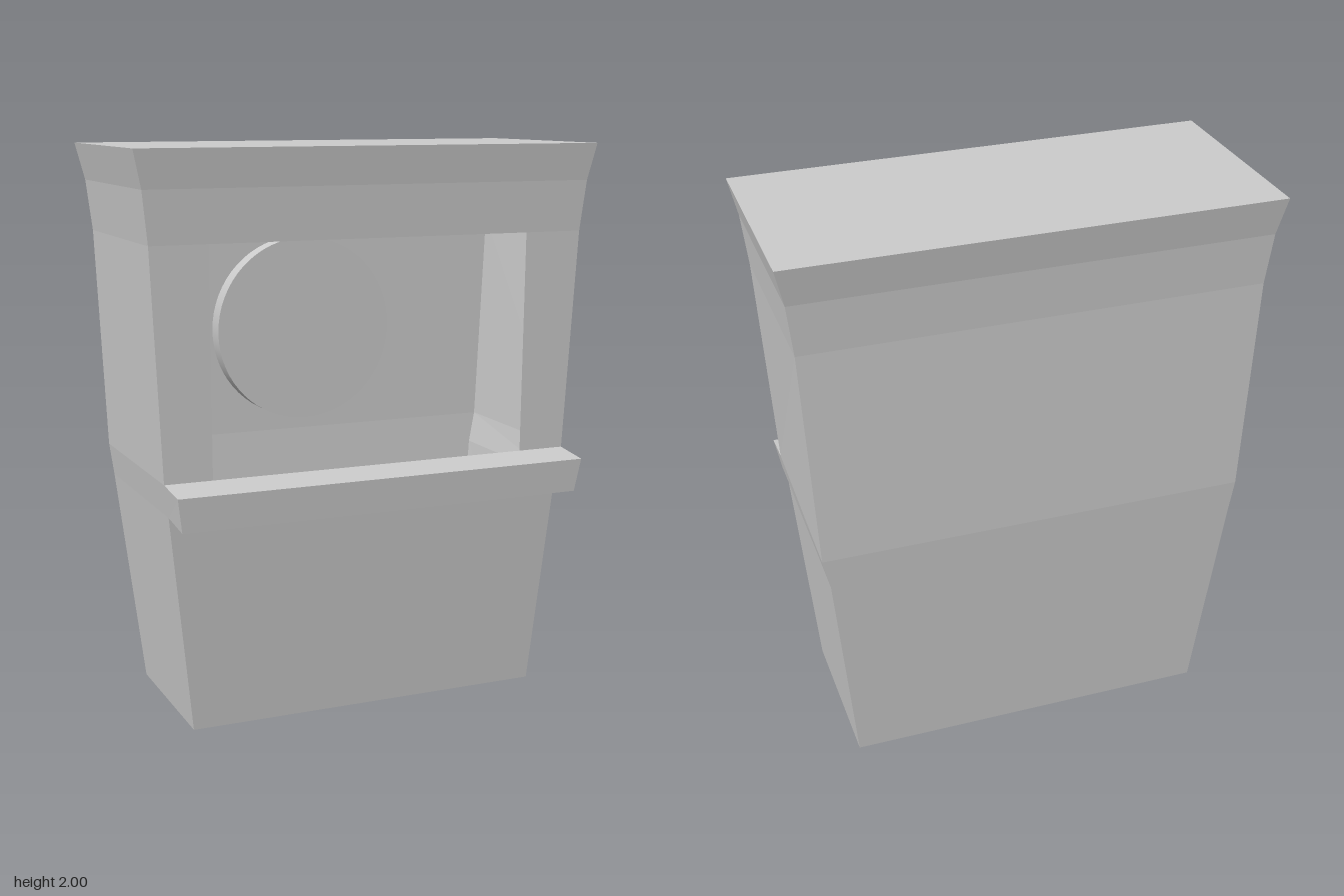
import * as THREE from 'three';

const material = new THREE.MeshStandardMaterial({
  color: 0xcccccc, flatShading: true, side: THREE.DoubleSide,
});

// Strip of flat quads between two matching edge lines (lists of [x, y, z]).
function strip(name, a, b) {
  const pos = [];
  for (let i = 0; i < a.length - 1; i++) {
    pos.push(...a[i], ...b[i], ...b[i + 1], ...a[i], ...b[i + 1], ...a[i + 1]);
  }
  const geometry = new THREE.BufferGeometry();
  geometry.setAttribute('position', new THREE.Float32BufferAttribute(pos, 3));
  geometry.computeVertexNormals();
  const mesh = new THREE.Mesh(geometry, material);
  mesh.name = name;
  return mesh;
}

// Outline of the booth, bottom to top:
// height, -x edge, +x edge at front, +x edge at back, front z, back z
const levels = [
  [0, -0.66, 0.66, 0.66, 0.235, -0.355],
  [0.785, -0.75, 0.73, 0.735, 0.288, -0.4],
  [0.9, -0.765, 0.75, 0.76, 0.295, -0.407],
  [1.69, -0.8, 0.8, 0.8, 0.295, -0.41],
  [1.87, -0.82, 0.82, 0.82, 0.305, -0.42],
  [2, -0.85, 0.85, 0.85, 0.32, -0.44],
];

export function createModel() {
  const group = new THREE.Group();
  group.name = 'booth';

  // Four long corner edges
  const frontL = levels.map(([y, l, , , f]) => [l, y, f]);
  const frontR = levels.map(([y, , r, , f]) => [r, y, f]);
  const backL = levels.map(([y, l, , , , b]) => [l, y, b]);
  const backR = levels.map(([y, , , r, , b]) => [r, y, b]);

  // Shell, open underneath
  group.add(
    strip('leftWall', frontR, backR),
    strip('rightWall', backL, frontL),
    strip('backWall', backR, backL),
    strip('roof', [frontL[5], backL[5]], [frontR[5], backR[5]]),
    strip('lowerFront', frontL.slice(0, 2), frontR.slice(0, 2)),
    strip('upperFront', frontL.slice(3), frontR.slice(3)),
  );

  // Window posts on both sides of the opening
  const openL = [[-0.595, 0.9, 0.295], [-0.595, 1.69, 0.295]];
  const openR = [[0.576, 0.9, 0.295], [0.584, 1.69, 0.295]];
  group.add(
    strip('rightPost', frontL.slice(2, 4), openL),
    strip('leftPost', openR, frontR.slice(2, 4)),
  );

  // Counter folded out of the front, with its ends closed
  const counterL = [frontL[1], [-0.748, 0.767, 0.433], [-0.763, 0.885, 0.44], frontL[2]];
  const counterR = [frontR[1], [0.725, 0.767, 0.433], [0.748, 0.885, 0.44], frontR[2]];
  group.add(
    strip('counter', counterL, counterR),
    strip('counterRightEnd', [counterL[0], counterL[3]], [counterL[1], counterL[2]]),
    strip('counterLeftEnd', [counterR[1], counterR[2]], [counterR[0], counterR[3]]),
  );

  // Round panel on the inside of the back wall
  const disc = new THREE.Mesh(
    new THREE.CylinderGeometry(0.345, 0.345, 0.07, 64),
    new THREE.MeshStandardMaterial({ color: 0xcccccc }),
  );
  disc.name = 'roundPanel';
  disc.rotation.x = Math.PI / 2;
  disc.position.set(-0.013, 1.3, -0.365);
  group.add(disc);

  return group;
}
